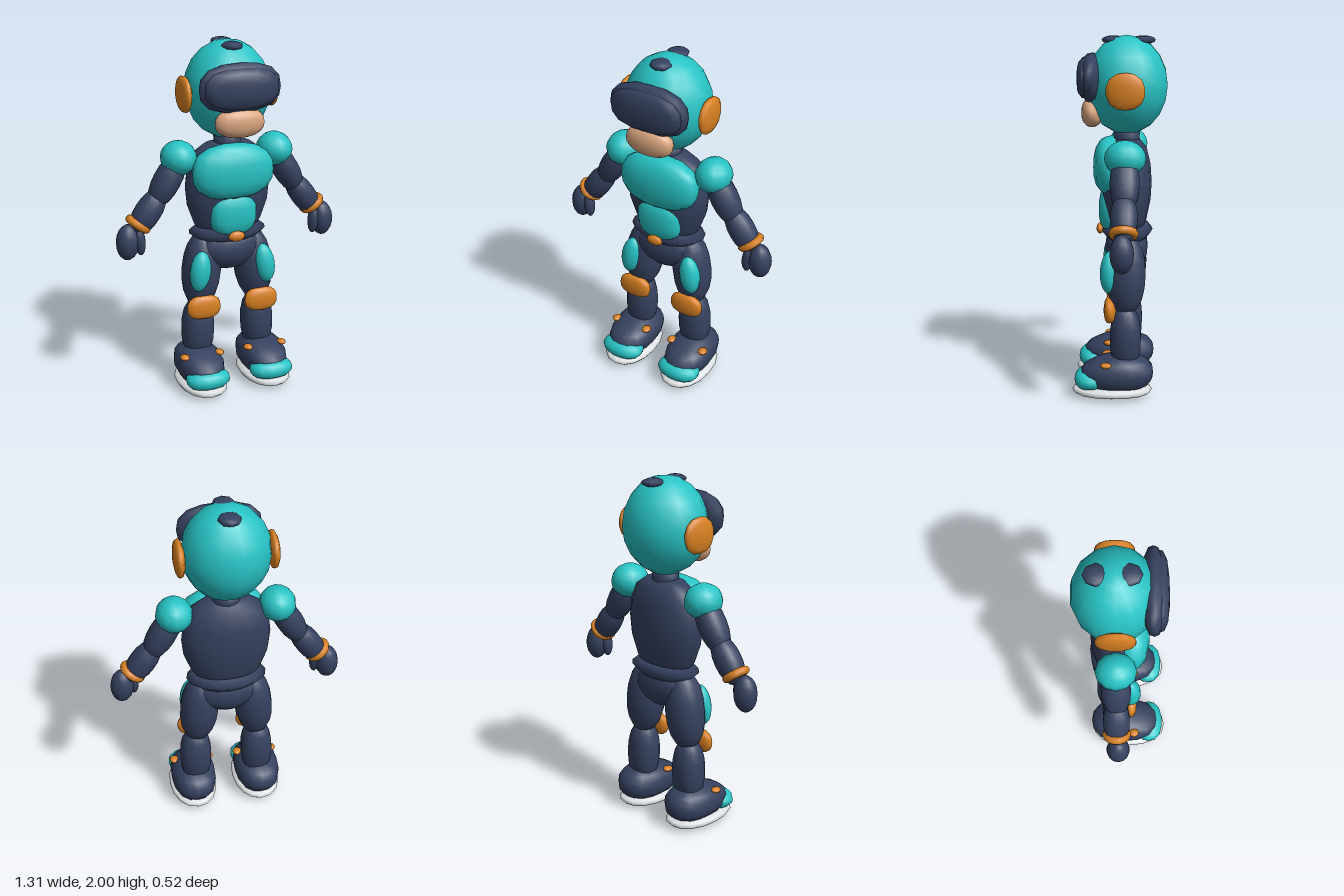
import * as THREE from 'three';
import { mergeVertices } from 'three/addons/utils/BufferGeometryUtils.js';

const paint = (name, color) => {
  const m = new THREE.MeshStandardMaterial({ color });
  m.name = name;
  return m;
};

export function createModel() {
  const teal = paint('teal armour', 0x27c3c5);
  const navy = paint('navy suit', 0x35415f);
  const orange = paint('orange trim', 0xd98122);
  const skin = paint('skin', 0xdba680);
  const white = paint('pale sole', 0xdde0e2);
  const model = new THREE.Group();
  model.name = 'helmetedFigure';

  // rounded solid: power 2 is an ellipsoid, higher is boxier; axis is where the poles point
  function blob(name, mat, pos, size, { power = 2, axis = 'y', segs = 14, rows = 10, rule } = {}) {
    let g = new THREE.SphereGeometry(1, segs, rows);
    if (axis === 'x') g.rotateZ(-Math.PI / 2);
    if (axis === 'z') g.rotateX(Math.PI / 2);
    g.deleteAttribute('uv');
    g.deleteAttribute('normal');
    g = mergeVertices(g, 1e-4);
    const p = g.attributes.position, v = new THREE.Vector3();
    for (let i = 0; i < p.count; i++) {
      v.fromBufferAttribute(p, i);
      const sum = Math.abs(v.x) ** power + Math.abs(v.y) ** power + Math.abs(v.z) ** power;
      v.divideScalar(sum ** (1 / power));
      if (rule) rule(v);
      p.setXYZ(i, v.x * size[0], v.y * size[1], v.z * size[2]);
    }
    g.computeVertexNormals();
    const mesh = new THREE.Mesh(g, mat);
    mesh.name = name;
    mesh.position.set(...pos);
    model.add(mesh);
    return mesh;
  }

  const UP = new THREE.Vector3(0, 1, 0);
  // rounded solid stretched between two points
  function limb(name, mat, a, b, rx, rz, opts) {
    const from = new THREE.Vector3(...a), to = new THREE.Vector3(...b);
    const dir = from.clone().sub(to);
    const mid = from.clone().add(to).multiplyScalar(0.5);
    const mesh = blob(name, mat, mid.toArray(), [rx, dir.length() / 2, rz], opts);
    mesh.quaternion.setFromUnitVectors(UP, dir.normalize());
    return mesh;
  }

  // turned part, flattened front to back
  function turned(name, mat, profile, depth, z) {
    const g = new THREE.LatheGeometry(profile.map(([r, y]) => new THREE.Vector2(r, y)), 16);
    g.scale(1, 1, depth);
    const mesh = new THREE.Mesh(g, mat);
    mesh.name = name;
    mesh.position.z = z;
    model.add(mesh);
  }

  // head
  blob('helmet', teal, [0, 1.73, -0.035], [0.242, 0.27, 0.23]);
  blob('visorFrame', navy, [0, 1.77, 0.158], [0.232, 0.133, 0.06], { power: 2.6, axis: 'z', segs: 16, rows: 8 });
  blob('visorGlass', navy, [0, 1.77, 0.185], [0.21, 0.112, 0.052], { power: 2.8, axis: 'z', segs: 16, rows: 8 });
  blob('face', skin, [0, 1.58, 0.155], [0.142, 0.082, 0.06], { power: 2.3 });
  blob('frontVent', navy, [0, 1.973, 0.035], [0.062, 0.024, 0.068], { segs: 8, rows: 6 });
  blob('rearVent', navy, [0, 1.973, -0.125], [0.062, 0.024, 0.068], { segs: 8, rows: 6 });

  // body
  turned('neck', navy, [[0, 1.52], [0.08, 1.5], [0.075, 1.44], [0.09, 1.39], [0, 1.38]].reverse(), 0.95, -0.035);
  turned('torso', navy, [[0, 0.92], [0.17, 0.93], [0.2, 0.98], [0.24, 1.09], [0.25, 1.19],
    [0.238, 1.29], [0.2, 1.38], [0.13, 1.43], [0, 1.445]], 0.56, -0.035);
  turned('belt', navy, [[0, 0.875], [0.18, 0.88], [0.228, 0.92], [0.185, 0.955], [0, 0.965]], 0.63, -0.038);
  blob('pelvis', navy, [0, 0.82, -0.035], [0.2, 0.13, 0.12], {
    power: 2.3,
    rule: v => { if (v.y < 0) v.x *= 1 + v.y * 0.3; },
  });
  blob('chestPlate', teal, [0, 1.285, 0.055], [0.236, 0.155, 0.095], { power: 2.5, segs: 16 });
  blob('bellyPlate', teal, [0, 1.04, 0.05], [0.135, 0.125, 0.07], { power: 2.8, segs: 16 });
  blob('buckle', orange, [0, 0.922, 0.113], [0.05, 0.03, 0.022], { segs: 10, rows: 8 });

  for (const [side, s] of [['left', 1], ['right', -1]]) {
    const part = name => side + name;

    // arm
    blob(part('EarDisc'), orange, [s * 0.25, 1.715, -0.035], [0.03, 0.1, 0.105], { power: 2.3, axis: 'x', rows: 8 });
    blob(part('Shoulder'), teal, [s * 0.285, 1.365, -0.035], [0.102, 0.097, 0.112], { segs: 12 });
    limb(part('UpperArm'), navy, [s * 0.27, 1.385, -0.035], [s * 0.435, 1.105, -0.035], 0.075, 0.08, { power: 2.2 });
    limb(part('Forearm'), navy, [s * 0.385, 1.19, -0.035], [s * 0.55, 0.96, -0.035], 0.073, 0.073, { power: 2.2 });
    const cuff = new THREE.Mesh(new THREE.TorusGeometry(0.056, 0.023, 8, 14), orange);
    cuff.name = part('Cuff');
    cuff.position.set(s * 0.525, 1.012, -0.035);
    cuff.quaternion.setFromUnitVectors(new THREE.Vector3(0, 0, 1), new THREE.Vector3(s * 0.59, -0.81, 0).normalize());
    model.add(cuff);
    limb(part('Hand'), navy, [s * 0.582, 1.02, -0.028], [s * 0.594, 0.815, -0.028], 0.066, 0.064);
    limb(part('Thumb'), navy, [s * 0.53, 1.0, -0.005], [s * 0.52, 0.84, -0.005], 0.032, 0.034, { segs: 10, rows: 8 });

    // leg
    limb(part('Thigh'), navy, [s * 0.135, 0.92, -0.04], [s * 0.18, 0.47, -0.035], 0.11, 0.11, { power: 2.2 });
    limb(part('ThighPlate'), teal, [s * 0.178, 0.833, 0.05], [s * 0.212, 0.6, 0.058], 0.06, 0.053);
    blob(part('KneePad'), orange, [s * 0.175, 0.497, 0.052], [0.1, 0.07, 0.034], { power: 2.6 });
    limb(part('Shin'), navy, [s * 0.18, 0.52, -0.035], [s * 0.187, 0.15, -0.035], 0.092, 0.087, { power: 2.5 });

    // foot
    blob(part('Shoe'), navy, [s * 0.195, 0.14, 0.012], [0.132, 0.105, 0.203], {
      power: 2.5, segs: 16,
      rule: v => { if (v.y > 0 && v.z > 0) v.y *= 1 - 0.35 * v.z; },
    });
    blob(part('ToeCap'), teal, [s * 0.195, 0.103, 0.165], [0.128, 0.055, 0.085], { power: 2.4 });
    blob(part('Sole'), white, [s * 0.195, 0.04, 0.04], [0.14, 0.036, 0.225], { power: 2.2, segs: 16, rows: 8 });
    for (const x of [0.09, 0.3]) {
      blob(part(x < 0.2 ? 'InnerStud' : 'OuterStud'), orange, [s * x, 0.21, 0.07], [0.028, 0.016, 0.032], { segs: 8, rows: 6 });
    }
  }
  return model;
}
